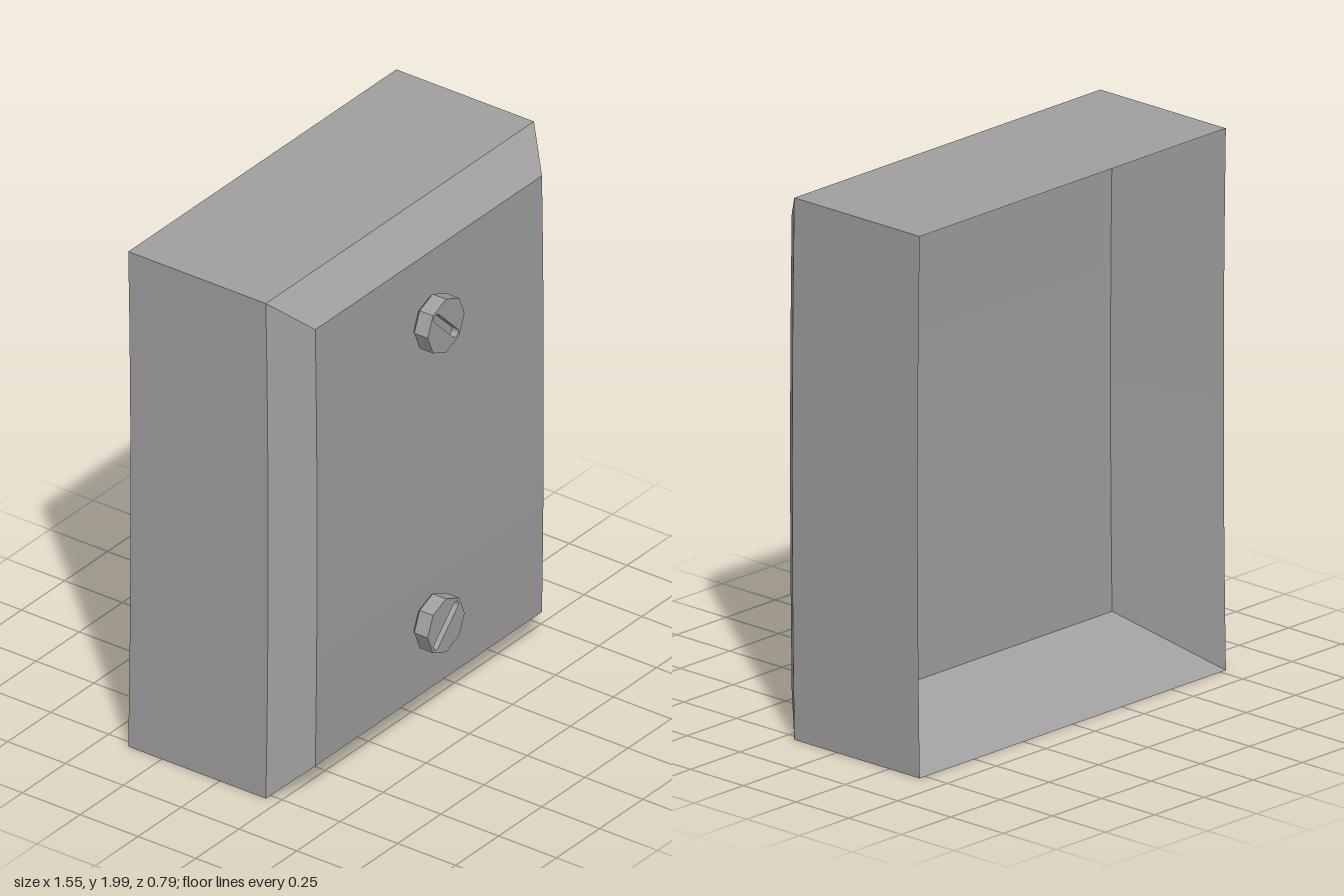
import * as THREE from 'three';

const ROWS = 8;

// Slight forward bow of the whole shell at mid height
const bow = (y) => 0.01 * (1 - (y - 1) ** 2);

// Flat-sided strip spanning two edges: a -> b (near edge) and d -> c (far edge)
function quad(a, b, c, d) {
  const [A, B, C, D] = [a, b, c, d].map((p) => new THREE.Vector3(...p));
  const pos = [];
  const index = [];
  for (let i = 0; i <= ROWS; i++) {
    const p = A.clone().lerp(D, i / ROWS);
    const q = B.clone().lerp(C, i / ROWS);
    for (const v of [p, q]) pos.push(v.x, v.y, v.z + bow(v.y));
    if (i < ROWS) {
      const k = i * 2;
      index.push(k, k + 1, k + 3, k, k + 3, k + 2);
    }
  }
  const g = new THREE.BufferGeometry();
  g.setAttribute('position', new THREE.Float32BufferAttribute(pos, 3));
  g.setIndex(index);
  g.computeVertexNormals();
  return g;
}

// Rectangle corners, counter-clockwise as seen from the front
function ring(inset, insetY, z) {
  const x = 0.777 - inset;
  const y0 = 0.005 + insetY;
  const y1 = 1.995 - insetY;
  return [[-x, y0, z], [x, y0, z], [x, y1, z], [-x, y1, z]];
}

export function createModel() {
  const model = new THREE.Group();
  const metal = new THREE.MeshStandardMaterial({ color: 0xa0a0a0, flatShading: true, side: THREE.DoubleSide });
  metal.name = 'grey metal';

  const add = (parent, geometry, name) => {
    const mesh = new THREE.Mesh(geometry, metal);
    mesh.name = name;
    parent.add(mesh);
    return mesh;
  };

  // Shell: inner recess, outer sides and bevelled front, ring by ring
  const cover = new THREE.Group();
  cover.name = 'cover';
  model.add(cover);
  const recess = ring(0.12, 0.145, 0.03);
  const back = ring(0, 0, -0.395);
  const shoulder = ring(0, 0, 0.2);
  const front = ring(0.12, 0.118, 0.322);
  const sides = ['bottom', 'left', 'top', 'right'];
  const bands = [[recess, back, 'RecessWall'], [back, shoulder, 'Side'], [shoulder, front, 'Bevel']];
  for (const [r, s, name] of bands) {
    sides.forEach((side, i) => {
      const j = (i + 1) % 4;
      // Rows run along the edge so the bow follows the height
      add(cover, quad(s[i], r[i], r[j], s[j]), side + name);
    });
  }
  add(cover, quad(...front), 'frontPanel');
  add(cover, quad(recess[1], recess[0], recess[3], recess[2]), 'recessPanel');

  // Slotted eight-sided screws
  const R = 0.107;
  const addScrew = (y, angle, name) => {
    const screw = new THREE.Group();
    screw.name = name;
    screw.position.set(0, y, 0.322);
    model.add(screw);

    const neck = new THREE.CylinderGeometry(R, 0.085, 0.018, 8).rotateX(Math.PI / 2);
    add(screw, neck, 'screwNeck').position.z = 0.011;
    const body = new THREE.CylinderGeometry(R, R, 0.03, 8).rotateX(Math.PI / 2);
    add(screw, body, 'screwBody').position.z = 0.035;

    // Head ring pierced by a round-ended slot
    const head = new THREE.Shape();
    for (let i = 0; i < 8; i++) {
      const t = (i * Math.PI) / 4;
      head[i ? 'lineTo' : 'moveTo'](R * Math.cos(t), R * Math.sin(t));
    }
    head.closePath();
    const slot = new THREE.Path();
    slot.absarc(0.078, 0, 0.016, -Math.PI / 2, Math.PI / 2, false);
    slot.absarc(-0.078, 0, 0.016, Math.PI / 2, Math.PI * 1.5, false);
    slot.closePath();
    head.holes.push(slot);
    const cap = new THREE.ExtrudeGeometry(head, { depth: 0.028, bevelEnabled: false, curveSegments: 4 });
    const capMesh = add(screw, cap, 'screwHead');
    capMesh.position.z = 0.05;
    capMesh.rotation.z = angle;
  };
  addScrew(1.61, -Math.PI / 4, 'topScrew');
  addScrew(0.405, Math.PI / 4, 'bottomScrew');

  return model;
}
